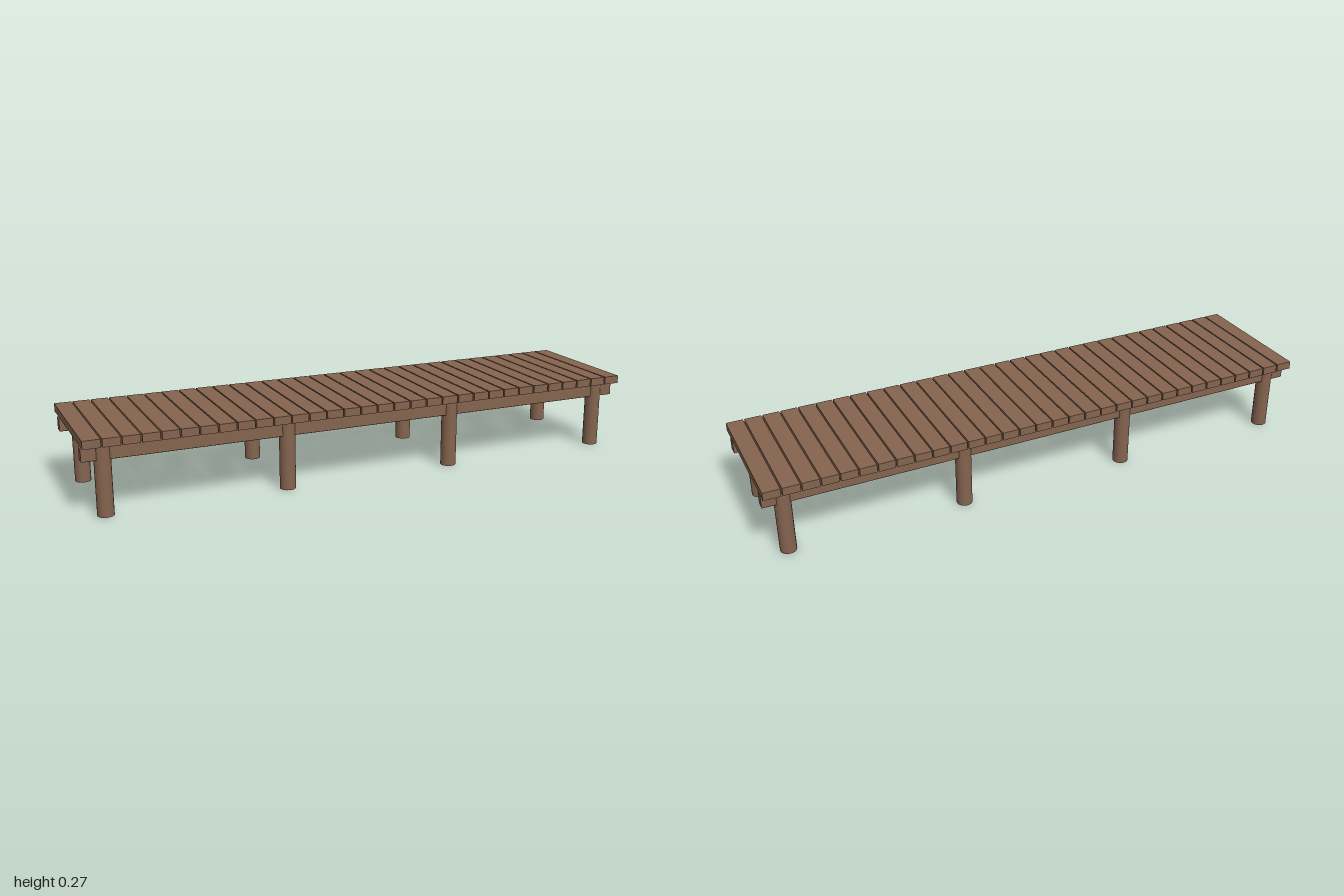
import * as THREE from 'three';
import { RoundedBoxGeometry } from 'three/addons/geometries/RoundedBoxGeometry.js';

export function createModel() {
  const group = new THREE.Group();
  const wood = new THREE.MeshStandardMaterial({ color: 0x85644f });
  wood.name = 'brown wood';

  const add = (name, geometry, x, y, z) => {
    const mesh = new THREE.Mesh(geometry, wood);
    mesh.name = name;
    mesh.position.set(x, y, z);
    group.add(mesh);
  };

  // Deck planks, laid across with narrow gaps
  const count = 32, gap = 0.005;
  const width = (2 - gap * (count - 1)) / count;
  const plank = new THREE.BoxGeometry(width, 0.028, 0.474);
  for (let i = 0; i < count; i++) {
    add('plank', plank, -1 + width / 2 + i * (width + gap), 0.256, 0);
  }

  // Two long beams, each carried by four round posts
  const beam = new RoundedBoxGeometry(2, 0.047, 0.033, 1, 0.003);
  const post = new THREE.CylinderGeometry(0.0275, 0.0275, 0.242, 24);
  for (const z of [-0.181, 0.181]) {
    add('beam', beam, 0, 0.2115, z);
    for (const x of [-0.93, -0.31, 0.31, 0.93]) add('post', post, x, 0.121, z);
  }
  return group;
}
